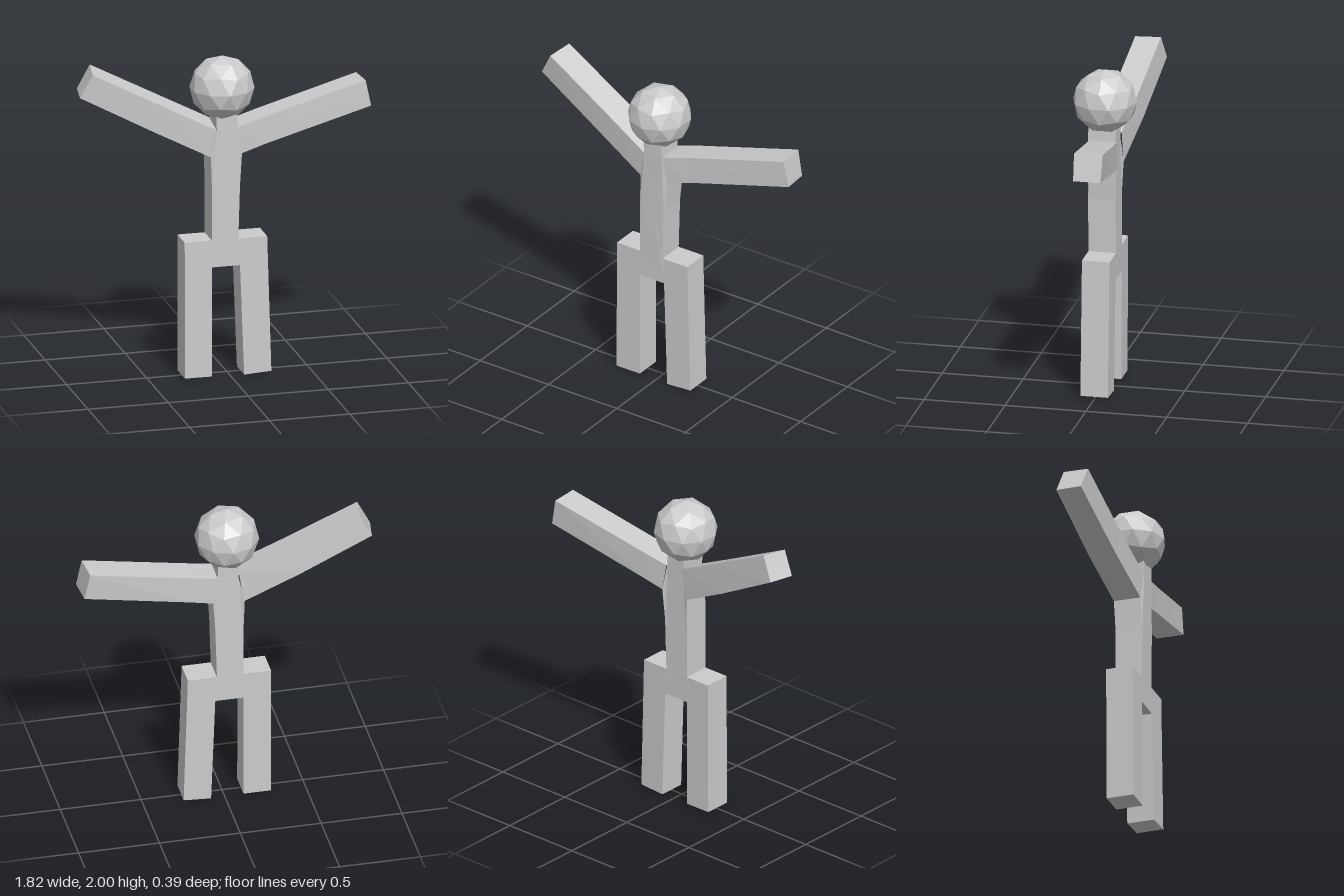
import * as THREE from 'three';

const material = () =>
  new THREE.MeshStandardMaterial({ color: 0xcccccc, flatShading: true });

// Skin four-cornered sections (counter-clockwise seen from the tip), closing the tip
function loft(name, sections) {
  const pos = [];
  const quad = (a, b, c, d) => pos.push(...a, ...b, ...c, ...a, ...c, ...d);
  for (let s = 0; s < sections.length - 1; s++) {
    const p = sections[s], q = sections[s + 1];
    for (let i = 0; i < 4; i++) {
      const j = (i + 1) % 4;
      quad(p[i], p[j], q[j], q[i]);
    }
  }
  quad(...sections[sections.length - 1]);
  const geo = new THREE.BufferGeometry();
  geo.setAttribute('position', new THREE.Float32BufferAttribute(pos, 3));
  geo.computeVertexNormals();
  const mesh = new THREE.Mesh(geo, material());
  mesh.name = name;
  return mesh;
}

// Legs, hips, torso and neck share one front outline
function buildBody() {
  const outline = [
    [-0.285, 0.005], [-0.115, 0.005], [-0.115, 0.695], [0.06, 0.695],
    [0.085, 0], [0.255, 0.01], [0.23, 0.865], [0.05, 0.865],
    [0.06, 1.2], [0.075, 1.4], [0.045, 1.57], [0.04, 1.67],
    [-0.09, 1.67], [-0.085, 1.56], [-0.12, 1.39], [-0.115, 1.2],
    [-0.115, 0.865], [-0.285, 0.865],
  ].map(([x, y]) => new THREE.Vector2(x, y));
  const geo = new THREE.ExtrudeGeometry(new THREE.Shape(outline), {
    depth: 0.17, bevelEnabled: false,
  });
  // Slight lean: the shoulders sit back, the feet and neck forward
  const pos = geo.attributes.position;
  for (let i = 0; i < pos.count; i++) {
    const y = pos.getY(i);
    let lean = 0.004 * (1 - Math.min(y / 0.8, 1));
    if (y > 1.3 && y < 1.5) lean = -0.009;
    if (y > 1.5) lean = 0.003;
    pos.setZ(i, pos.getZ(i) - 0.085 + lean);
  }
  geo.computeVertexNormals();
  const mesh = new THREE.Mesh(geo, material());
  mesh.name = 'body';
  return mesh;
}

export function createModel() {
  const group = new THREE.Group();
  group.name = 'figure';
  group.add(buildBody());

  // Left arm: bottom front, bottom back, top back, top front
  group.add(loft('leftArm', [
    [[0.075, 1.4, 0.076], [0.075, 1.4, -0.094], [0.045, 1.57, -0.09], [0.045, 1.57, 0.085]],
    [[0.23, 1.443, 0.058], [0.22, 1.44, -0.112], [0.2, 1.61, -0.112], [0.215, 1.613, 0.06]],
    [[0.905, 1.605, -0.012], [0.89, 1.6, -0.177], [0.857, 1.768, -0.185], [0.87, 1.77, -0.01]],
  ]));

  // Right arm, raised higher: bottom back, bottom front, top front, top back
  group.add(loft('rightArm', [
    [[-0.115, 1.39, -0.094], [-0.12, 1.39, 0.076], [-0.085, 1.56, 0.085], [-0.085, 1.59, -0.09]],
    [[-0.45, 1.567, -0.142], [-0.46, 1.562, 0.028], [-0.385, 1.713, 0.045], [-0.38, 1.74, -0.125]],
    [[-0.885, 1.81, -0.19], [-0.91, 1.8, -0.025], [-0.835, 1.945, -0.005], [-0.81, 1.96, -0.17]],
  ]));

  // Head: faceted ball with one vertex pointing straight up
  const ball = new THREE.IcosahedronGeometry(0.197, 1);
  ball.rotateZ(-Math.atan(2 / (1 + Math.sqrt(5))));
  const head = new THREE.Mesh(ball, material());
  head.name = 'head';
  head.position.set(-0.03, 1.805, 0);
  group.add(head);

  return group;
}
